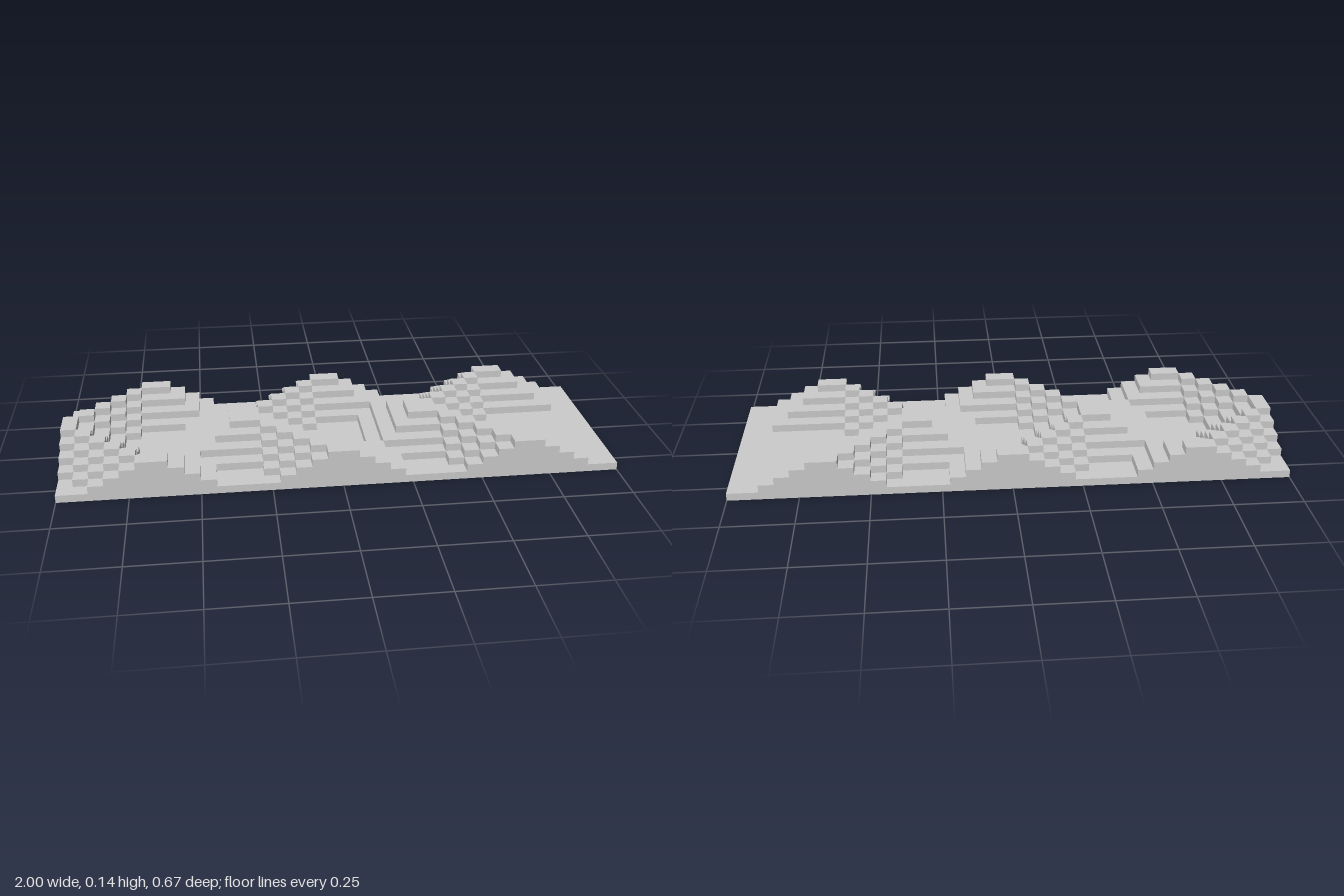
import * as THREE from 'three';
import { mergeGeometries } from 'three/addons/utils/BufferGeometryUtils.js';

const CELL = 1 / 18;      // plan grid: 36 x 12 cells
const STEP = 1 / 36;      // height of one terrace
const COLS = 36, ROWS = 12, LEVELS = 5;

const material = new THREE.MeshStandardMaterial({ color: 0xcccccc, flatShading: true });

// A block covering columns c0..c1 and rows r0..r1 of one level (0 is the base)
function block(c0, c1, r0, r1, level) {
  const g = new THREE.BoxGeometry((c1 - c0) * CELL, STEP, (r1 - r0) * CELL);
  g.translate(((c0 + c1) / 2 - COLS / 2) * CELL, (level + 0.5) * STEP,
    ((r0 + r1) / 2 - ROWS / 2) * CELL);
  return g;
}

// Column range of a chevron terrace in one row; drop counts levels below the crest
function extent(apex, drop, row) {
  const d = row < ROWS / 2 ? ROWS / 2 - 1 - row : row - ROWS / 2; // rows from the middle
  const e = ROWS / 2 - 1 - d;                                     // rows from the edge
  const left = d <= drop ? apex - drop : apex + 1 + d - drop;
  const right = e <= drop ? apex + 8 + drop : apex + 7 - e + drop;
  return [Math.max(0, left), Math.min(COLS, right)];
}

// One terrace: rows with the same extent are joined into a single block
function terrace(apex, level) {
  const parts = [];
  const drop = LEVELS - 1 - level;
  for (let r = 0; r < ROWS;) {
    const [a, b] = extent(apex, drop, r);
    let end = r + 1;
    while (end < ROWS && extent(apex, drop, end).join() === [a, b].join()) end++;
    parts.push(block(a, b, r, end, level));
    r = end;
  }
  return mergeGeometries(parts);
}

function addMesh(parent, geometry, name) {
  const mesh = new THREE.Mesh(geometry, material);
  mesh.name = name;
  parent.add(mesh);
}

export function createModel() {
  const model = new THREE.Group();
  model.name = 'steppedChevronTerrain';

  // Flat slab under everything
  addMesh(model, block(0, COLS, 0, ROWS, 0), 'basePlate');

  // Three stepped chevron ridges, the first cut off at the slab's end
  [-1, 11, 23].forEach((apex, i) => {
    const ridge = new THREE.Group();
    ridge.name = `chevronRidge${i + 1}`;
    for (let level = 1; level < LEVELS; level++) {
      addMesh(ridge, terrace(apex, level), `terrace${level}`);
    }
    model.add(ridge);
  });

  return model;
}
